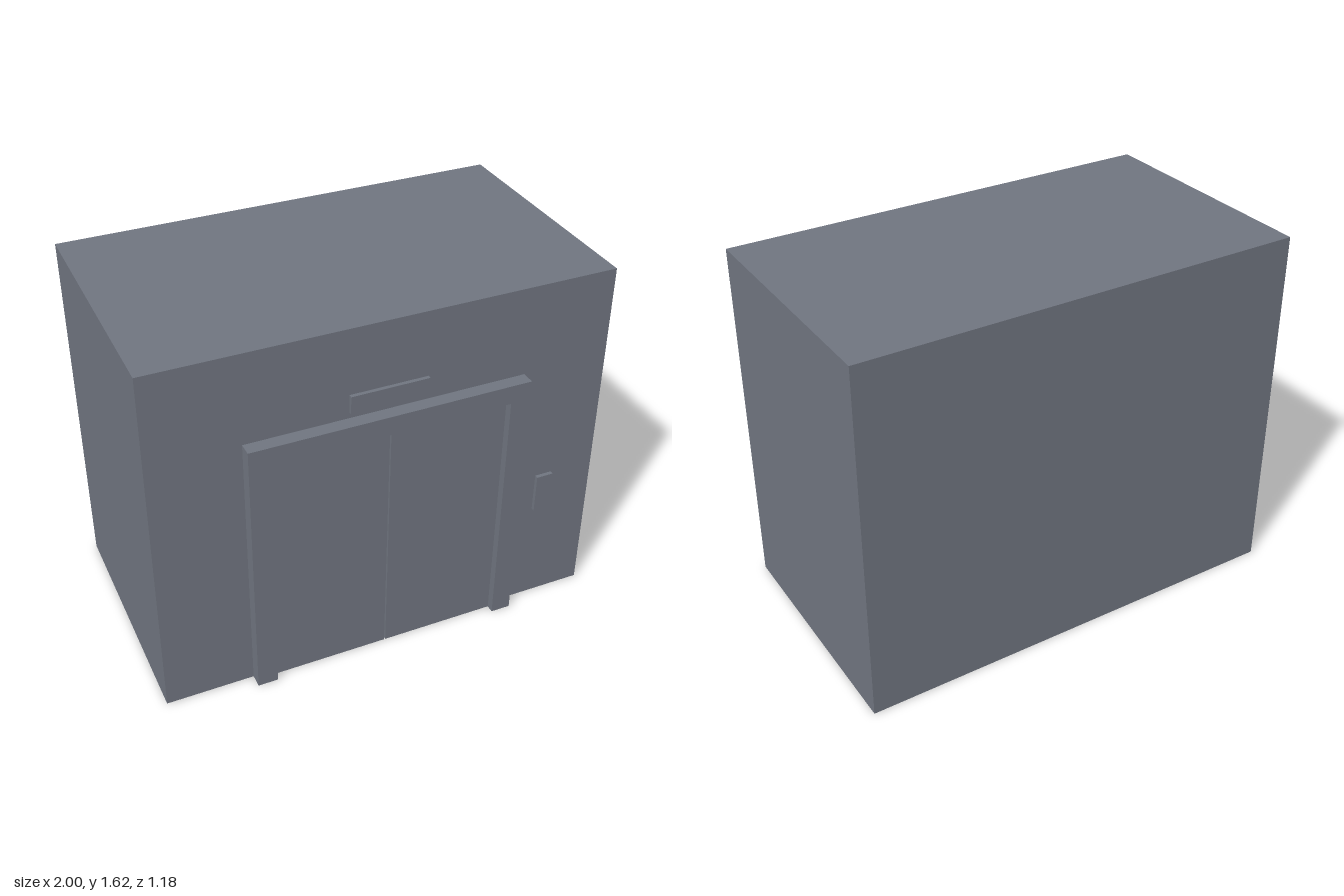
import * as THREE from 'three';

// Key dimensions
const H = 1.623, BACK = -0.588, WALL = 0.528, FRAME = 0.588, DOOR = 0.552, PLATE = 0.545;
const FX = 0.612, FY = 1.223, DX = 0.523, DY = 1.138, GAP = 0.003;

// Corners of a rectangle, clockwise seen from the front, starting bottom left
const rect = (x0, y0, x1, y1) => [[x0, y0], [x0, y1], [x1, y1], [x1, y0]];

// Flat face at depth z
function face(points, z) {
  const shape = new THREE.Shape(points.map(([x, y]) => new THREE.Vector2(x, y)));
  return new THREE.ShapeGeometry(shape).translate(0, 0, z);
}

// Band of side faces along a path, from depth z0 to z1; faces outward for clockwise paths
function band(path, z0, z1) {
  const pos = [];
  for (let i = 0; i < path.length - 1; i++) {
    const [ax, ay] = path[i], [bx, by] = path[i + 1];
    pos.push(ax, ay, z0, ax, ay, z1, bx, by, z1);
    pos.push(ax, ay, z0, bx, by, z1, bx, by, z0);
  }
  const geo = new THREE.BufferGeometry();
  geo.setAttribute('position', new THREE.Float32BufferAttribute(pos, 3));
  geo.computeVertexNormals();
  return geo;
}

export function createModel() {
  const model = new THREE.Group();
  model.name = 'elevator';
  const grey = new THREE.MeshStandardMaterial({ color: 0x707580, side: THREE.DoubleSide });
  grey.name = 'slate grey';

  function part(name, ...geometries) {
    const group = new THREE.Group();
    group.name = name;
    for (const geo of geometries) {
      const mesh = new THREE.Mesh(geo, grey);
      mesh.name = name + 'Surface';
      group.add(mesh);
    }
    model.add(group);
  }

  const outer = rect(-FX, 0, FX, FY);
  const opening = rect(-DX, 0, DX, DY);
  const gap = rect(-GAP, 0, GAP, DY);

  // Hollow shaft, open underneath, with the doorway cut from the front wall
  part('shaft',
    band(rect(-1, 0, -1 + 2, H), BACK, WALL),
    face(rect(-1, 0, 1, H), 0).rotateY(Math.PI).translate(0, 0, BACK),
    face([...rect(-1, 0, 1, H), ...[...outer].reverse()], WALL));

  // Raised door surround: outer sides, front and inner reveal
  part('doorFrame',
    band(outer, WALL, FRAME),
    face([...outer, ...[...opening].reverse()], FRAME),
    band([...opening].reverse(), DOOR, FRAME));

  // Sliding doors with a narrow slot between them
  part('rightDoor', face(rect(-DX, 0, -GAP, DY), DOOR));
  part('leftDoor', face(rect(GAP, 0, DX, DY), DOOR));
  part('doorGap', band([...gap].reverse(), WALL, DOOR), face(gap, WALL));

  // Small raised plates on the wall
  const plates = {
    floorIndicator: rect(-0.17, 1.25, 0.17, 1.33),
    callPanel: rect(0.72, 0.49, 0.797, 0.672),
  };
  for (const [name, r] of Object.entries(plates)) {
    part(name, band([...r, r[0]], WALL, PLATE), face(r, PLATE));
  }
  return model;
}
